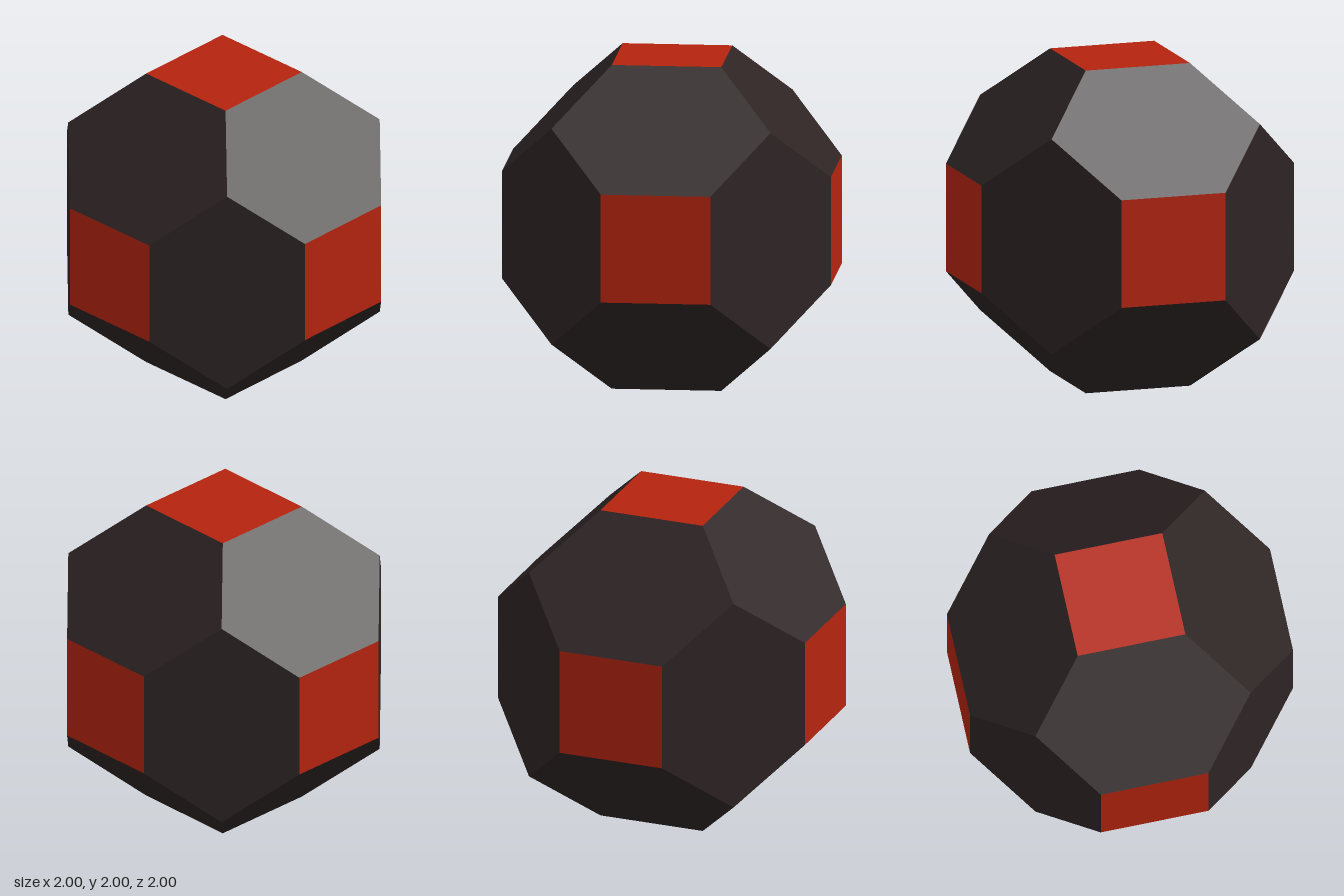
import * as THREE from 'three';

export function createModel() {
  const model = new THREE.Group();
  model.name = 'chamferedCube';

  const red = new THREE.MeshStandardMaterial({ color: 0xb5240f });
  red.name = 'red';
  const charcoal = new THREE.MeshStandardMaterial({ color: 0x2e2424 });
  charcoal.name = 'charcoal';

  const a = 1 / 3;
  const h = Math.SQRT2 / 3;
  const polygon = (points) =>
    new THREE.ShapeGeometry(new THREE.Shape(points.map(([x, y]) => new THREE.Vector2(x, y))));
  const square = polygon([[-a, -a], [a, -a], [a, a], [-a, a]]);
  const hexagon = polygon([[2 * a, 0], [a, h], [-a, h], [-2 * a, 0], [-a, -h], [a, -h]]);

  // Panel facing along normal, with its local x along the given axis
  function addPanel(name, geometry, material, normal, xAxis, distance) {
    const z = normal.clone().normalize();
    const y = new THREE.Vector3().crossVectors(z, xAxis);
    const matrix = new THREE.Matrix4().makeBasis(xAxis, y, z);
    matrix.setPosition(z.clone().multiplyScalar(distance).add(new THREE.Vector3(0, 1, 0)));
    const mesh = new THREE.Mesh(geometry.clone().applyMatrix4(matrix), material);
    mesh.name = name;
    model.add(mesh);
  }

  const axes = [0, 1, 2].map((i) => new THREE.Vector3().setComponent(i, 1));
  for (let i = 0; i < 3; i++) {
    const u = axes[(i + 1) % 3];
    const v = axes[(i + 2) % 3];
    for (const s of [-1, 1]) {
      // Square panels on the six cube faces
      addPanel('squarePanel', square, red, axes[i].clone().multiplyScalar(s), u, 1);
      // Hexagonal panels on the twelve cube edges
      for (const t of [-1, 1]) {
        const normal = u.clone().multiplyScalar(s).addScaledVector(v, t);
        addPanel('hexagonPanel', hexagon, charcoal, normal, axes[i], 2 * h);
      }
    }
  }
  return model;
}
